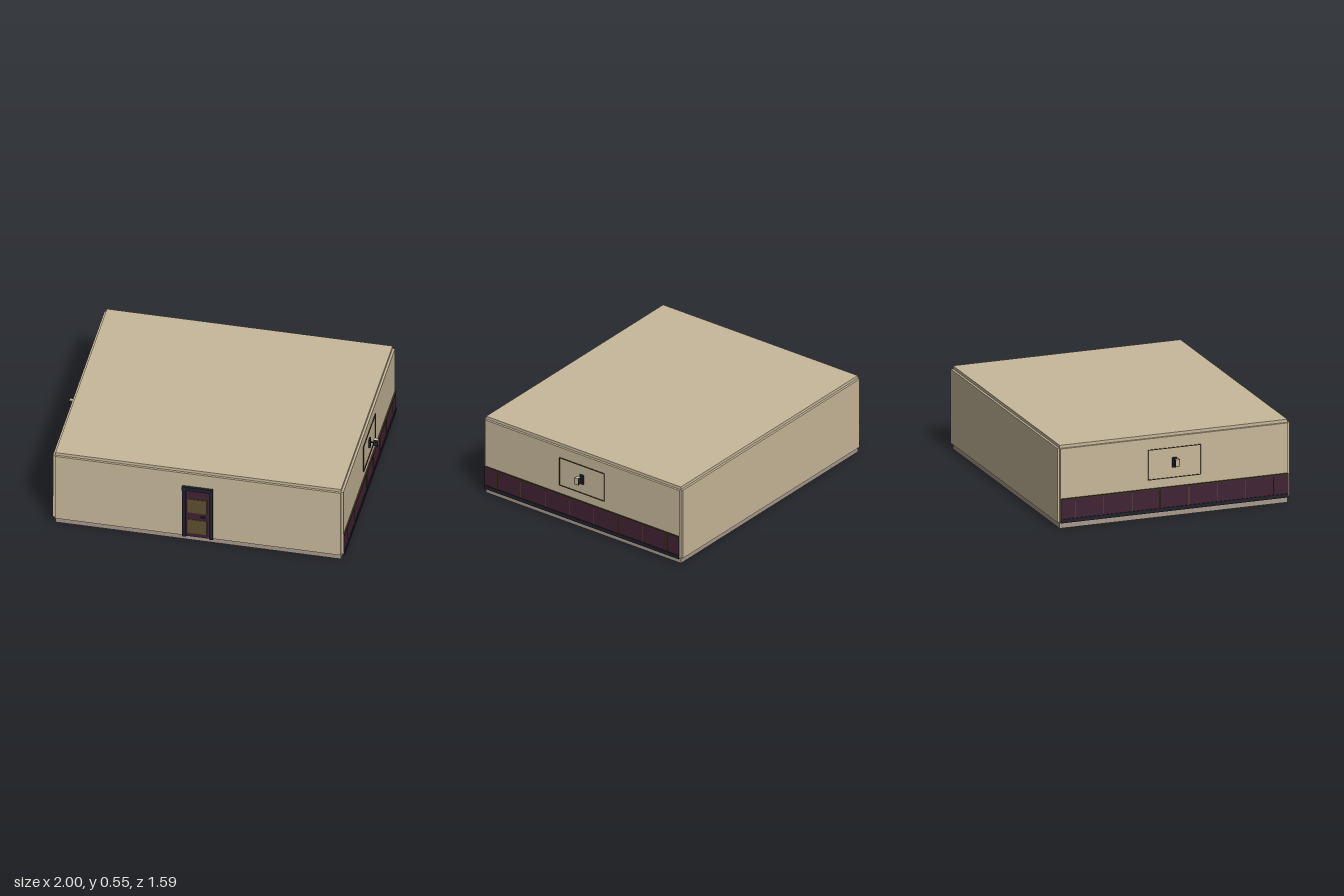
import * as THREE from 'three';

const mat = (name, color) => {
  const m = new THREE.MeshStandardMaterial({ color });
  m.name = name;
  return m;
};

export function createModel() {
  const plaster = mat('tan plaster', 0xc8b89a);
  const stone = mat('grey brown floor', 0xa8998c);
  const plum = mat('plum wood', 0x412233);
  const olive = mat('olive brass', 0x5e4f30);
  const rail = mat('dark bronze', 0x3a3020);
  const iron = mat('dark iron', 0x1e222a);

  const model = new THREE.Group();
  // Box given by its minimum and maximum on each axis
  const box = (parent, name, material, x0, x1, y0, y1, z0, z1) => {
    const mesh = new THREE.Mesh(new THREE.BoxGeometry(x1 - x0, y1 - y0, z1 - z0), material);
    mesh.position.set((x0 + x1) / 2, (y0 + y1) / 2, (z0 + z1) / 2);
    mesh.name = name;
    parent.add(mesh);
    return mesh;
  };

  const W = 0.925, OUT = 0.94, BACK = -0.781, FRONT = 0.766, MID = -0.0075;
  const BASE = 0.04, TOP = 0.53;

  // Shell: slabs and walls, with open notches at the corners
  box(model, 'floor', stone, -W, W, 0, BASE, BACK, FRONT);
  box(model, 'roof', plaster, -W, W, TOP, 0.55, BACK, FRONT);
  box(model, 'backWall', plaster, -W, W, BASE, TOP, BACK - 0.015, BACK);
  box(model, 'frontWallRight', plaster, -W, -0.09, BASE, TOP, FRONT, 0.78);
  box(model, 'frontWallLeft', plaster, 0.09, W, BASE, TOP, FRONT, 0.78);
  box(model, 'wallAboveDoor', plaster, -0.09, 0.09, 0.42, TOP, FRONT, 0.78);

  // Door with frame, inset panels and handle
  const door = new THREE.Group();
  door.name = 'door';
  model.add(door);
  for (const s of [-1, 1]) {
    const x = s * 0.0875;
    box(door, 'doorJamb', iron, x - 0.0125, x + 0.0125, BASE, 0.43, FRONT, 0.795);
  }
  box(door, 'doorHead', iron, -0.1, 0.1, 0.405, 0.432, FRONT, 0.797);
  box(door, 'doorLeaf', plum, -0.075, 0.075, BASE, 0.405, FRONT, 0.785);
  for (const [y0, y1] of [[0.068, 0.175], [0.23, 0.335]])
    box(door, 'doorPanel', olive, -0.063, 0.06, y0, y1, 0.784, 0.788);
  box(door, 'doorHandlePlate', iron, 0.038, 0.052, 0.192, 0.216, 0.785, 0.789);
  box(door, 'doorHandle', iron, 0.02, 0.05, 0.2, 0.21, 0.789, 0.797);

  // Both long sides, mirrored about x = 0
  for (const s of [-1, 1]) {
    const side = new THREE.Group();
    side.name = s > 0 ? 'leftSide' : 'rightSide';
    model.add(side);
    const part = (name, material, x0, x1, ...rest) =>
      box(side, name, material, Math.min(s * x0, s * x1), Math.max(s * x0, s * x1), ...rest);

    part('sideWall', plaster, W, OUT, BASE, TOP, BACK, FRONT);

    // Wainscot, skirting, cap rail and dividers
    part('wainscot', plum, OUT, 0.945, 0.06, 0.194, BACK, FRONT);
    part('skirting', iron, OUT, 0.95, BASE, 0.065, BACK, FRONT);
    part('capRail', rail, OUT, 0.95, 0.192, 0.2, BACK, FRONT);
    for (let i = 0; i < 8; i++) {
      const z = 0.668 - i * 0.193;
      part('wainscotDivider', olive, 0.945, 0.947, 0.067, 0.182, z - 0.002, z + 0.002);
    }

    // Thin wall moulding
    for (const y of [0.455, 0.258])
      part('mouldingRail', rail, OUT, 0.946, y - 0.002, y + 0.002, MID - 0.178, MID + 0.178);
    for (const z of [MID - 0.178, MID + 0.178])
      part('mouldingStile', rail, OUT, 0.946, 0.258, 0.455, z - 0.0007, z + 0.0007);

    // Wall lamp
    part('lampBackplate', iron, OUT, 0.95, 0.325, 0.39, MID - 0.015, MID + 0.015);
    part('lampArm', iron, 0.95, 0.973, 0.358, 0.366, MID - 0.004, MID + 0.004);
    part('lampShade', plaster, 0.97, 1, 0.346, 0.39, MID - 0.011, MID + 0.011);
    part('lampBase', iron, 0.969, 1, 0.343, 0.348, MID - 0.013, MID + 0.013);
    for (const z of [MID - 0.013, MID + 0.013])
      part('lampSidePlate', iron, 0.97, 1, 0.346, 0.39, z - 0.002, z + 0.002);
  }

  return model;
}
